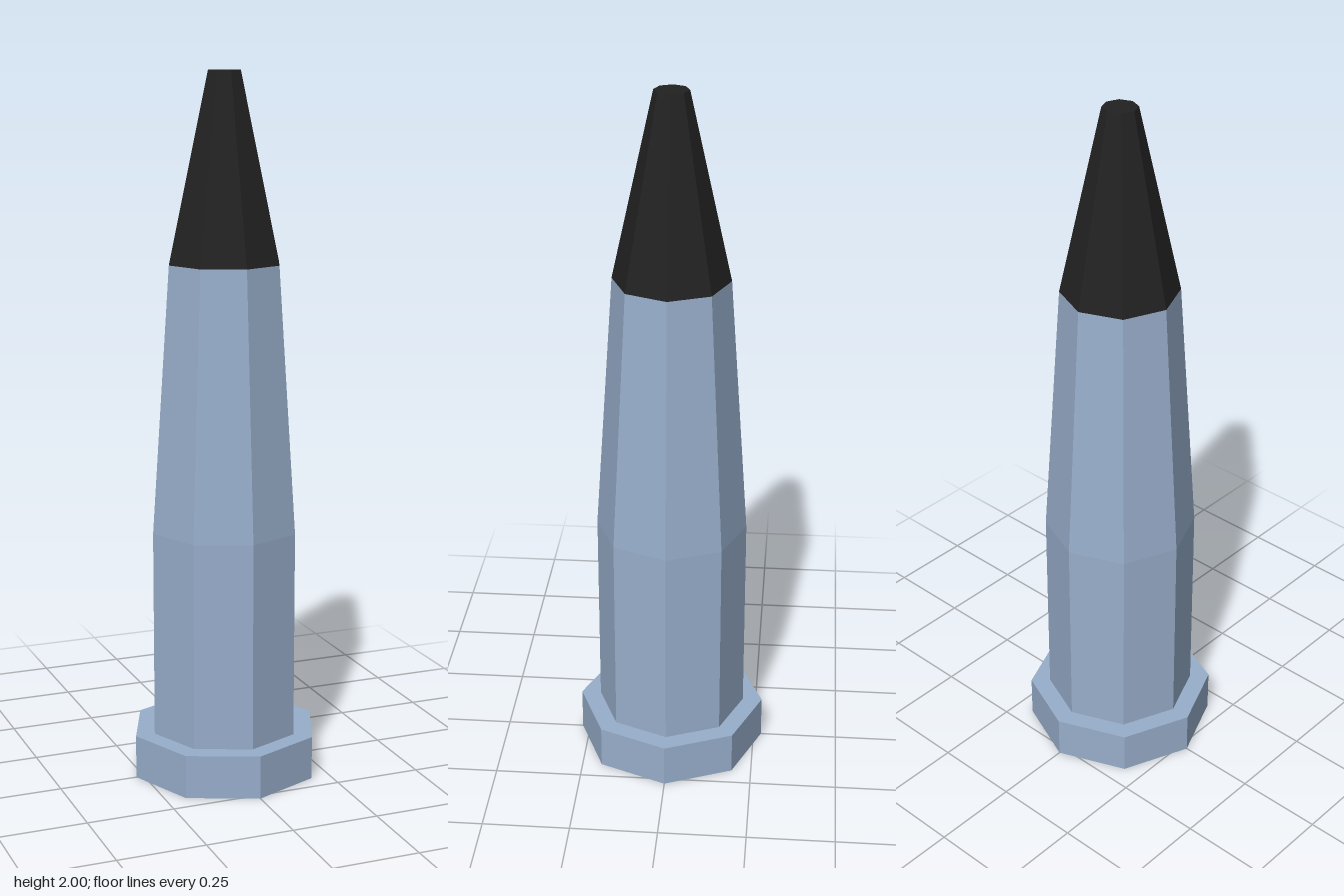
import * as THREE from 'three';

const SIDES = 8;

export function createModel() {
  const model = new THREE.Group();
  model.name = 'cartridge';

  const blueGrey = new THREE.MeshStandardMaterial({ color: 0x98aecb, flatShading: true });
  blueGrey.name = 'blue grey metal';
  const black = new THREE.MeshStandardMaterial({ color: 0x222222, flatShading: true });
  black.name = 'black tip';

  // One eight-sided section between two heights
  function section(name, material, rBottom, rTop, y0, y1, open) {
    const geometry = new THREE.CylinderGeometry(rTop, rBottom, y1 - y0, SIDES, 1, open);
    const mesh = new THREE.Mesh(geometry, material);
    mesh.name = name;
    mesh.position.y = (y0 + y1) / 2;
    model.add(mesh);
  }

  // Wide rim at the foot
  section('baseRim', blueGrey, 0.273, 0.273, 0, 0.125, false);
  // Straight lower casing, then the tapering upper casing
  section('lowerCasing', blueGrey, 0.216, 0.216, 0.125, 0.72, true);
  section('upperCasing', blueGrey, 0.216, 0.164, 0.72, 1.475, true);
  // Blunt pointed tip
  section('tip', black, 0.164, 0.048, 1.475, 2, false);

  return model;
}
